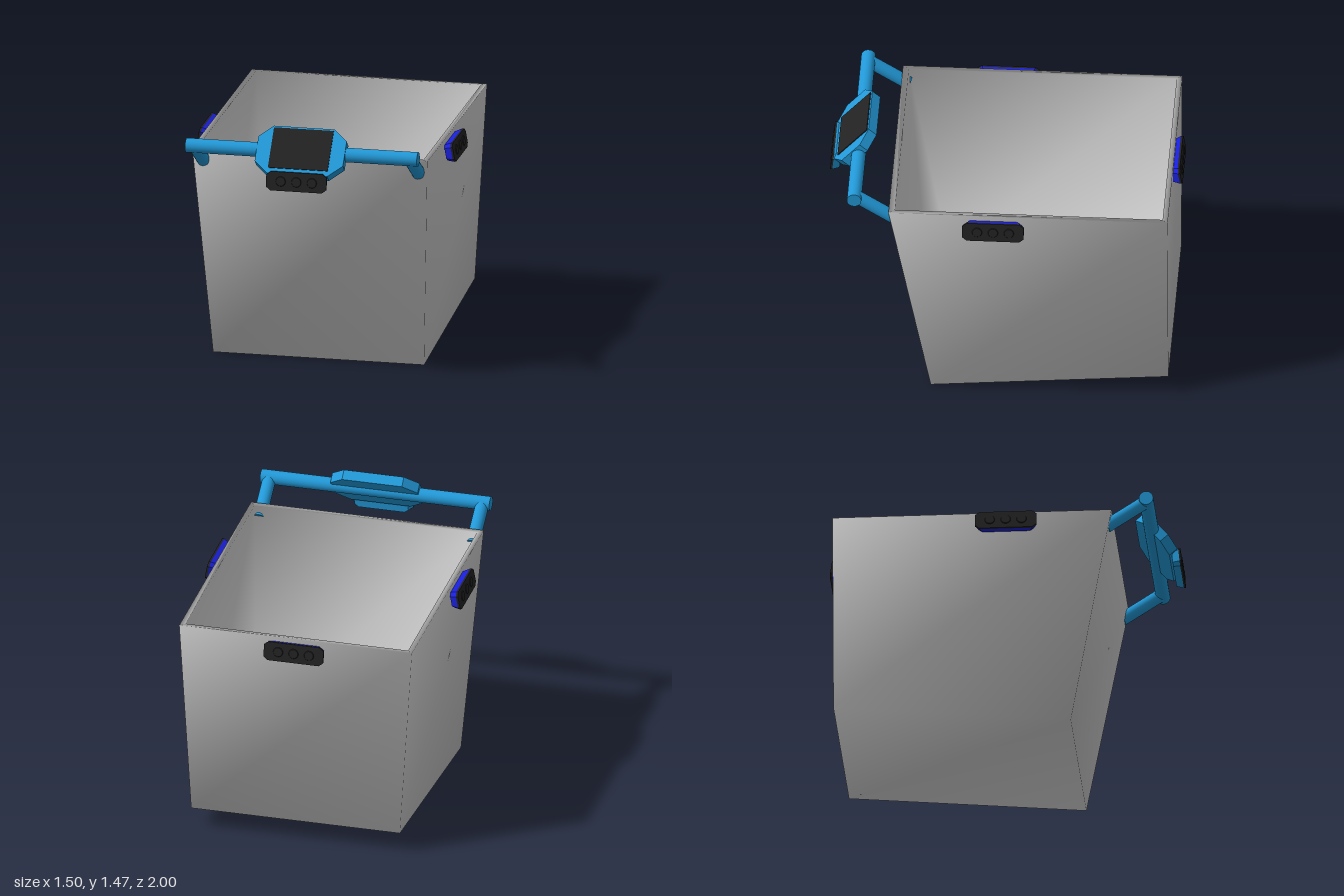
import * as THREE from 'three';

const mat = (color) => new THREE.MeshStandardMaterial({ color });

function add(parent, name, geometry, material, x = 0, y = 0, z = 0) {
  const mesh = new THREE.Mesh(geometry, material);
  mesh.name = name;
  mesh.position.set(x, y, z);
  parent.add(mesh);
  return mesh;
}

// Rectangle with cut corners, extruded along z and centred
function chamferedPlate(w, h, cx, cy, depth) {
  const pts = [
    [w - cx, -h], [w, cy - h], [w, h - cy], [w - cx, h],
    [cx - w, h], [-w, h - cy], [-w, cy - h], [cx - w, -h],
  ].map(([x, y]) => new THREE.Vector2(x, y));
  const geo = new THREE.ExtrudeGeometry(new THREE.Shape(pts), { depth, bevelEnabled: false });
  return geo.translate(0, 0, -depth / 2);
}

// Four corners of a basket section, counter-clockwise from above
const ring = (w, yFront, zFront, yBack, zBack) => [
  -w, yFront, zFront, w, yFront, zFront, w, yBack, zBack, -w, yBack, zBack,
];

// Open tapered basket: outer wall, rim, inner wall and floor in one smooth skin
function basketGeometry() {
  const rings = [
    ring(0.61, 0, 0.4, 0.12, -0.945),
    ring(0.68, 1.27, 0.635, 1.27, -0.945),
    ring(0.65, 1.27, 0.6, 1.27, -0.915),
    ring(0.58, 0.03, 0.37, 0.15, -0.915),
  ];
  const index = [0, 2, 1, 0, 3, 2, 12, 13, 14, 12, 14, 15];
  for (let r = 0; r < 3; r++) {
    for (let i = 0; i < 4; i++) {
      const a = r * 4 + i, b = r * 4 + ((i + 1) % 4);
      index.push(a, b, b + 4, a, b + 4, a + 4);
    }
  }
  const geo = new THREE.BufferGeometry();
  geo.setAttribute('position', new THREE.Float32BufferAttribute(rings.flat(), 3));
  geo.setIndex(index);
  geo.computeVertexNormals();
  return geo;
}

// Sensor pod: tapered coloured housing, dark face and three lenses, facing +z
function sensorPod(name, shell, dark) {
  const pod = new THREE.Group();
  pod.name = name;
  const housing = chamferedPlate(0.174, 0.055, 0.025, 0.02, 0.04);
  const p = housing.attributes.position;
  for (let i = 0; i < p.count; i++) {
    if (p.getZ(i) < 0) p.setXY(i, p.getX(i) * 0.9, p.getY(i) * 0.85);
  }
  housing.computeVertexNormals();
  add(pod, 'podHousing', housing, shell, 0, 0, -0.007);
  add(pod, 'podFace', chamferedPlate(0.174, 0.055, 0.025, 0.02, 0.012), dark, 0, 0, 0.019);
  for (const x of [-0.09, 0, 0.09]) {
    const lens = add(pod, 'podLens', new THREE.CylinderGeometry(0.026, 0.03, 0.006, 20), dark, x, 0, 0.026);
    lens.rotation.x = Math.PI / 2;
  }
  return pod;
}

export function createModel() {
  const model = new THREE.Group();
  model.name = 'cart';
  const grey = mat(0xcccccc), sky = mat(0x2299d8), blue = mat(0x1a20d8), dark = mat(0x222222);

  add(model, 'basket', basketGeometry(), grey);

  // Handle bar with two arms reaching down into the front wall
  const handle = new THREE.Group();
  handle.name = 'handle';
  model.add(handle);
  const bar = add(handle, 'handleBar', new THREE.CylinderGeometry(0.041, 0.041, 1.34, 24), sky, 0, 1.34, 0.83);
  bar.rotation.z = Math.PI / 2;
  const top = new THREE.Vector3(0, 1.34, 0.83), end = new THREE.Vector3(0, 1.192, 0.602);
  const dir = top.clone().sub(end);
  for (const side of [-1, 1]) {
    const arm = add(handle, side > 0 ? 'leftArm' : 'rightArm',
      new THREE.CylinderGeometry(0.038, 0.038, dir.length(), 24), sky);
    arm.position.copy(top).add(end).multiplyScalar(0.5).setX(side * 0.622);
    arm.quaternion.setFromUnitVectors(new THREE.Vector3(0, 1, 0), dir.clone().normalize());
  }

  // Tilted console with its screen
  const consoleGroup = new THREE.Group();
  consoleGroup.name = 'console';
  consoleGroup.position.set(0, 1.34, 0.852);
  consoleGroup.rotation.x = -0.72;
  handle.add(consoleGroup);
  add(consoleGroup, 'consoleBody', chamferedPlate(0.255, 0.147, 0.08, 0.07, 0.06), sky);
  add(consoleGroup, 'screen', new THREE.BoxGeometry(0.345, 0.25, 0.012), dark, 0, 0.01, 0.029);

  // Sensor pods: one under the console, one on each side, one at the back
  const pods = [
    ['frontSensor', sky, 0, 1.207, 0.967, 0, 0.1],
    ['leftSensor', blue, 0.715, 1.196, 0.04, Math.PI / 2, 0.18],
    ['rightSensor', blue, -0.715, 1.196, 0.04, -Math.PI / 2, 0.18],
    ['backSensor', blue, 0, 1.196, -0.965, Math.PI, 0.15],
  ];
  for (const [name, shell, x, y, z, yaw, tilt] of pods) {
    const pod = sensorPod(name, shell, dark);
    pod.position.set(x, y, z);
    pod.rotation.set(-tilt, yaw, 0, 'YXZ');
    model.add(pod);
  }
  return model;
}
